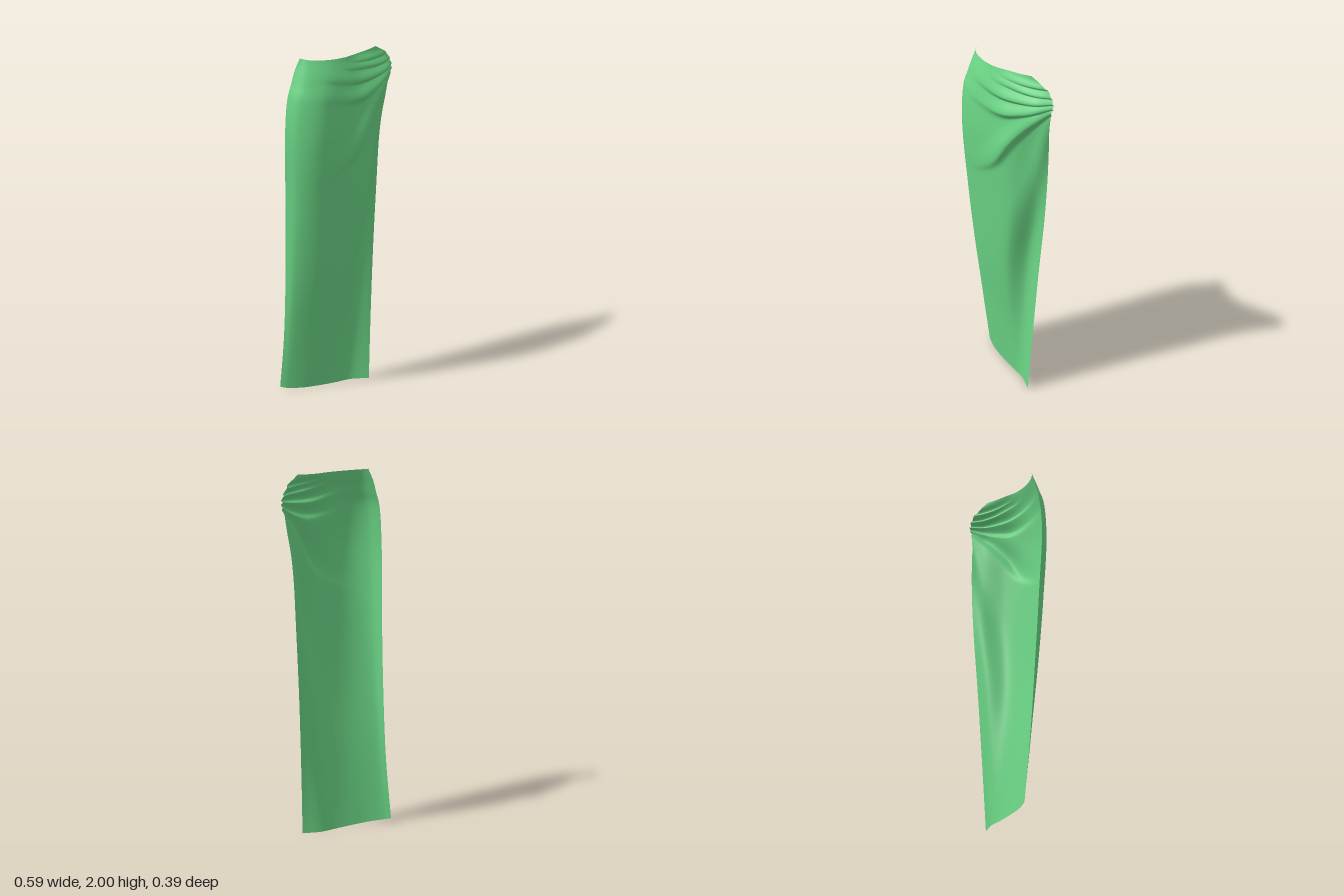
import * as THREE from 'three';

// Cross-sections of the cloth from hem to waist: height, then x,z pairs from the right-hand edge to the gathered edge
const SECTIONS = [
  [0.00, -.24, -.197, -.217, -.162, -.155, -.10, -.075, -.042, .01, .012, .09, .06, .163, .138],
  [0.40, -.253, -.15, -.238, -.115, -.175, -.05, -.085, .015, .015, .06, .105, .072, .185, .128],
  [0.80, -.268, -.12, -.26, -.07, -.195, .01, -.09, .078, .025, .117, .13, .085, .21, .12],
  [1.20, -.285, -.098, -.276, -.03, -.215, .05, -.09, .12, .06, .158, .18, .11, .24, .115],
  [1.60, -.30, -.082, -.288, -.005, -.23, .078, -.10, .14, .06, .167, .20, .135, .262, .12],
  [1.80, -.28, -.078, -.272, 0, -.205, .08, -.08, .13, .06, .16, .19, .165, .28, .142],
  [1.87, -.26, -.07, -.248, .003, -.18, .078, -.07, .125, .06, .15, .21, .166, .295, .148],
  [1.94, -.238, -.062, -.224, 0, -.16, .07, -.06, .117, .05, .138, .16, .15, .262, .148],
  [2.00, -.218, -.045, -.20, 0, -.14, .06, -.05, .105, .04, .12, .11, .135, .17, .145],
];

// Pleats fanning out from the gather: path in x,y, height, start and end width, crease sharpness
const FOLDS = [
  { path: [[.25, 1.95], [.14, 1.955], [-.06, 1.97]], amp: .014, w0: .012, w1: .03, sharp: .6 },
  { path: [[.28, 1.91], [.15, 1.915], [-.12, 1.94]], amp: .018, w0: .014, w1: .035, sharp: .5 },
  { path: [[.295, 1.88], [.15, 1.865], [0, 1.865], [-.23, 1.92]], amp: .024, w0: .014, w1: .05, sharp: .45 },
  { path: [[.295, 1.855], [.14, 1.80], [0, 1.775], [-.25, 1.82]], amp: .026, w0: .014, w1: .06, sharp: .45 },
  { path: [[.29, 1.83], [.17, 1.73], [.07, 1.62], [-.04, 1.47], [-.25, 1.35]], amp: .027, w0: .017, w1: .08, sharp: .32 },
  { path: [[.285, 1.80], [.22, 1.55], [.13, 1.20], [.03, .75]], amp: .016, w0: .02, w1: .08, sharp: .7 },
].map((f) => ({
  ...f,
  pts: new THREE.CatmullRomCurve3(f.path.map(([x, y]) => new THREE.Vector3(x, y, 0))).getPoints(24),
}));

// Height of one pleat at x,y: soft on the upper side, creased on the lower side
function foldHeight(fold, x, y) {
  const n = fold.pts.length - 1;
  let best = Infinity, t = 0, side = 1;
  for (let i = 0; i < n; i++) {
    const a = fold.pts[i], b = fold.pts[i + 1];
    const tx = b.x - a.x, ty = b.y - a.y, dx = x - a.x, dy = y - a.y;
    const k = THREE.MathUtils.clamp((dx * tx + dy * ty) / (tx * tx + ty * ty), 0, 1);
    const d = Math.hypot(dx - k * tx, dy - k * ty);
    if (d < best) {
      best = d;
      t = (i + k) / n;
      side = tx * dy - ty * dx < 0 ? 1 : fold.sharp;
    }
  }
  const w = THREE.MathUtils.lerp(fold.w0, fold.w1, Math.sqrt(t)) * side;
  const fade = Math.min(1, .7 + 2 * t) * (1 - THREE.MathUtils.smoothstep(t, .5, 1));
  return fold.amp * fade * Math.exp(-((best / w) ** 2));
}

// Smooth sheet lofted through the sections, then pleated
function drapedSheet(cols, rows) {
  const columns = [];
  for (let c = 0; c < 7; c++) {
    columns.push(new THREE.CatmullRomCurve3(
      SECTIONS.map((s) => new THREE.Vector3(s[1 + 2 * c], s[0], s[2 + 2 * c]))));
  }
  const position = [], index = [];
  for (let j = 0; j <= rows; j++) {
    const v = j / rows;
    const row = new THREE.CatmullRomCurve3(columns.map((c) => c.getPoint(v)));
    for (let i = 0; i <= cols; i++) {
      const u = i / cols;
      const p = row.getPoint(u);
      let lift = 0;
      for (const fold of FOLDS) lift = Math.max(lift, foldHeight(fold, p.x, p.y));
      // Slightly raised hem corner and dipped waistline
      const hem = .022 * (1 - u) ** 2 * Math.max(0, 1 - p.y / .3);
      const dip = .01 * Math.sin(Math.PI * u) * THREE.MathUtils.smoothstep(p.y, 1.9, 2);
      position.push(p.x - lift * .2, p.y + hem - dip, p.z + lift);
      if (i < cols && j < rows) {
        const a = j * (cols + 1) + i, b = a + cols + 1;
        index.push(a, a + 1, b + 1, a, b + 1, b);
      }
    }
  }
  const geometry = new THREE.BufferGeometry();
  geometry.setAttribute('position', new THREE.Float32BufferAttribute(position, 3));
  geometry.setIndex(index);
  geometry.computeVertexNormals();
  return geometry;
}

export function createModel() {
  const group = new THREE.Group();
  group.name = 'drapedSkirtPanel';
  const greenCloth = new THREE.MeshStandardMaterial({ color: 0x6bd686, side: THREE.DoubleSide });
  greenCloth.name = 'greenCloth';
  const cloth = new THREE.Mesh(drapedSheet(120, 240), greenCloth);
  cloth.name = 'gatheredCloth';
  group.add(cloth);
  return group;
}
